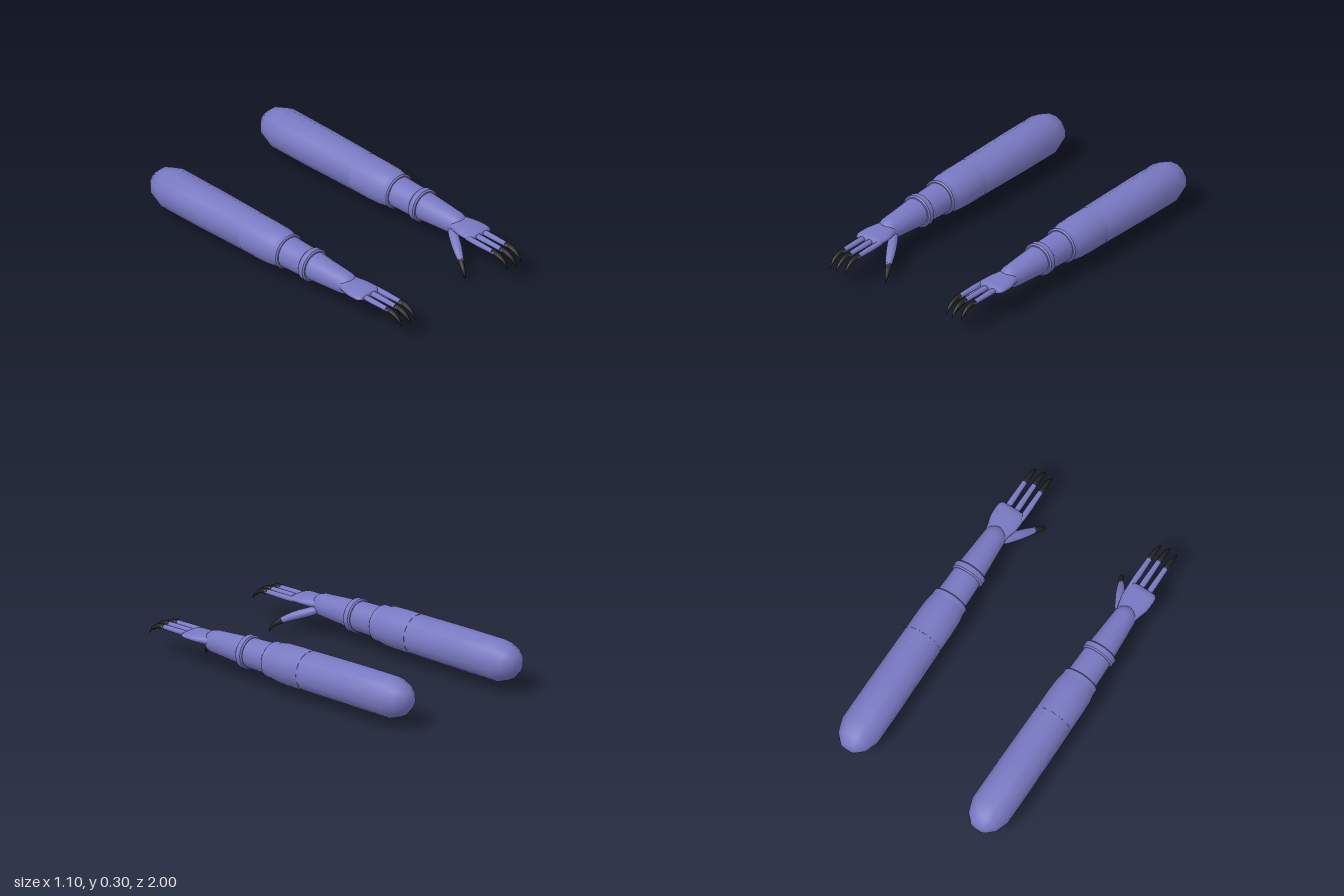
import * as THREE from 'three';
import { toCreasedNormals } from 'three/addons/utils/BufferGeometryUtils.js';

const skin = new THREE.MeshStandardMaterial({ color: 0x7878c2 });
skin.name = 'violet skin';
const horn = new THREE.MeshStandardMaterial({ color: 0x222224 });
horn.name = 'black claw';

const AXIS_X = 0.433, AXIS_Y = 0.178;

function mesh(name, geometry, material) {
  const m = new THREE.Mesh(geometry, material);
  m.name = name;
  return m;
}

// Round part about the arm's long axis; profile is [radius, z] from back to front
function turned(profile, sides, phase = 0) {
  const pts = profile.map(([r, z]) => new THREE.Vector2(r, z));
  const g = toCreasedNormals(new THREE.LatheGeometry(pts, sides, phase), 0.7);
  return g.rotateX(Math.PI / 2);
}

// Smooth limb through sections [x, y, z, halfWidth, halfHeight]
function limb(sections, side, sides = 12, steps = 4) {
  const path = new THREE.CatmullRomCurve3(sections.map(([x, y, z]) => new THREE.Vector3(x * side, y, z)));
  const size = new THREE.CatmullRomCurve3(sections.map(([, , , w, h]) => new THREE.Vector3(w, h, 0)), false, 'catmullrom', 0.4);
  const n = (sections.length - 1) * steps, pos = [], idx = [];
  const up = new THREE.Vector3(0, 1, 0);
  for (let i = 0; i <= n; i++) {
    const p = path.getPoint(i / n), t = path.getTangent(i / n), r = size.getPoint(i / n);
    const s = new THREE.Vector3().crossVectors(up, t).normalize();
    const u = new THREE.Vector3().crossVectors(t, s);
    for (let j = 0; j < sides; j++) {
      const a = (j / sides) * Math.PI * 2;
      const v = p.clone().addScaledVector(s, Math.cos(a) * r.x).addScaledVector(u, Math.sin(a) * r.y);
      pos.push(v.x, v.y, v.z);
    }
  }
  const start = (n + 1) * sides, end = start + 1;
  pos.push(...path.getPoint(0).toArray(), ...path.getPoint(1).toArray());
  for (let j = 0; j < sides; j++) {
    const k = (j + 1) % sides;
    for (let i = 0; i < n; i++) {
      const a = i * sides + j, b = i * sides + k;
      idx.push(a, b, a + sides, b, b + sides, a + sides);
    }
    idx.push(start, k, j, end, n * sides + j, n * sides + k);
  }
  const g = new THREE.BufferGeometry();
  g.setAttribute('position', new THREE.Float32BufferAttribute(pos, 3));
  g.setIndex(idx);
  g.computeVertexNormals();
  return g;
}

// Cuff with slightly rounded rims
function band(z0, z1, r) {
  const b = 0.008;
  return turned([[r - 0.03, z0], [r - b, z0], [r, z0 + b], [r, z1 - b], [r - b, z1], [r - 0.03, z1]], 24);
}

function createArm(name, side) {
  const arm = new THREE.Group();
  arm.name = name;
  const round = new THREE.Group();
  round.name = 'armSegments';
  round.position.set(AXIS_X * side, AXIS_Y, 0);
  arm.add(round);

  // Upper arm, elbow sleeve, forearm and cuffs
  round.add(
    mesh('upperArm', turned([[0, -1], [0.05, -0.993], [0.094, -0.95], [0.122, -0.87],
      [0.122, -0.6], [0.117, -0.2], [0, -0.2]], 12, Math.PI / 12), skin),
    mesh('elbowSleeve', turned([[0, -0.228], [0.117, -0.228], [0.117, -0.12], [0.114, -0.03],
      [0.104, 0.03], [0, 0.04]], 24), skin),
    mesh('elbowCuff', band(0.01, 0.06, 0.105), skin),
    mesh('forearm', turned([[0, 0], [0.093, 0], [0.087, 0.2], [0.066, 0.5], [0.058, 0.53],
      [0.04, 0.553], [0.02, 0.564], [0, 0.567]], 24), skin),
    mesh('wristCuff', band(0.215, 0.263, 0.098), skin)
  );

  // Flat palm
  arm.add(mesh('palm', limb([
    [0.433, 0.185, 0.46, 0.05, 0.035], [0.434, 0.186, 0.53, 0.068, 0.034],
    [0.435, 0.187, 0.6, 0.086, 0.03], [0.435, 0.187, 0.67, 0.087, 0.026],
    [0.435, 0.187, 0.695, 0.076, 0.015]], side, 20), skin));

  // Three fingers with hooked claws
  [[0.362, 0], [0.414, 0.015], [0.468, 0]].forEach(([x, reach], i) => {
    const y = 0.185, z = 0.87 + reach;
    arm.add(
      mesh('finger' + (i + 1), limb([
        [x, y, 0.66, 0.016, 0.015], [x, y, 0.74, 0.018, 0.016],
        [x, y, 0.81, 0.016, 0.015], [x, y, z + 0.01, 0.015, 0.014]], side), skin),
      mesh('claw' + (i + 1), limb([
        [x, y + 0.001, z - 0.01, 0.015, 0.017], [x, y - 0.004, z + 0.035, 0.015, 0.014],
        [x, y - 0.024, z + 0.078, 0.01, 0.009], [x, y - 0.065, z + 0.113, 0.001, 0.001]], side, 10), horn)
    );
  });

  // Thumb angled inwards and down
  arm.add(
    mesh('thumb', limb([
      [0.4, 0.165, 0.49, 0.018, 0.02], [0.37, 0.142, 0.545, 0.028, 0.026],
      [0.325, 0.112, 0.62, 0.027, 0.025], [0.285, 0.076, 0.69, 0.017, 0.017]], side), skin),
    mesh('thumbClaw', limb([
      [0.289, 0.08, 0.682, 0.018, 0.018], [0.272, 0.06, 0.712, 0.015, 0.015],
      [0.26, 0.034, 0.737, 0.009, 0.009], [0.256, 0.001, 0.75, 0.001, 0.001]], side, 10), horn)
  );
  return arm;
}

export function createModel() {
  const model = new THREE.Group();
  model.name = 'clawedArms';
  model.add(createArm('leftArm', 1), createArm('rightArm', -1));
  return model;
}
